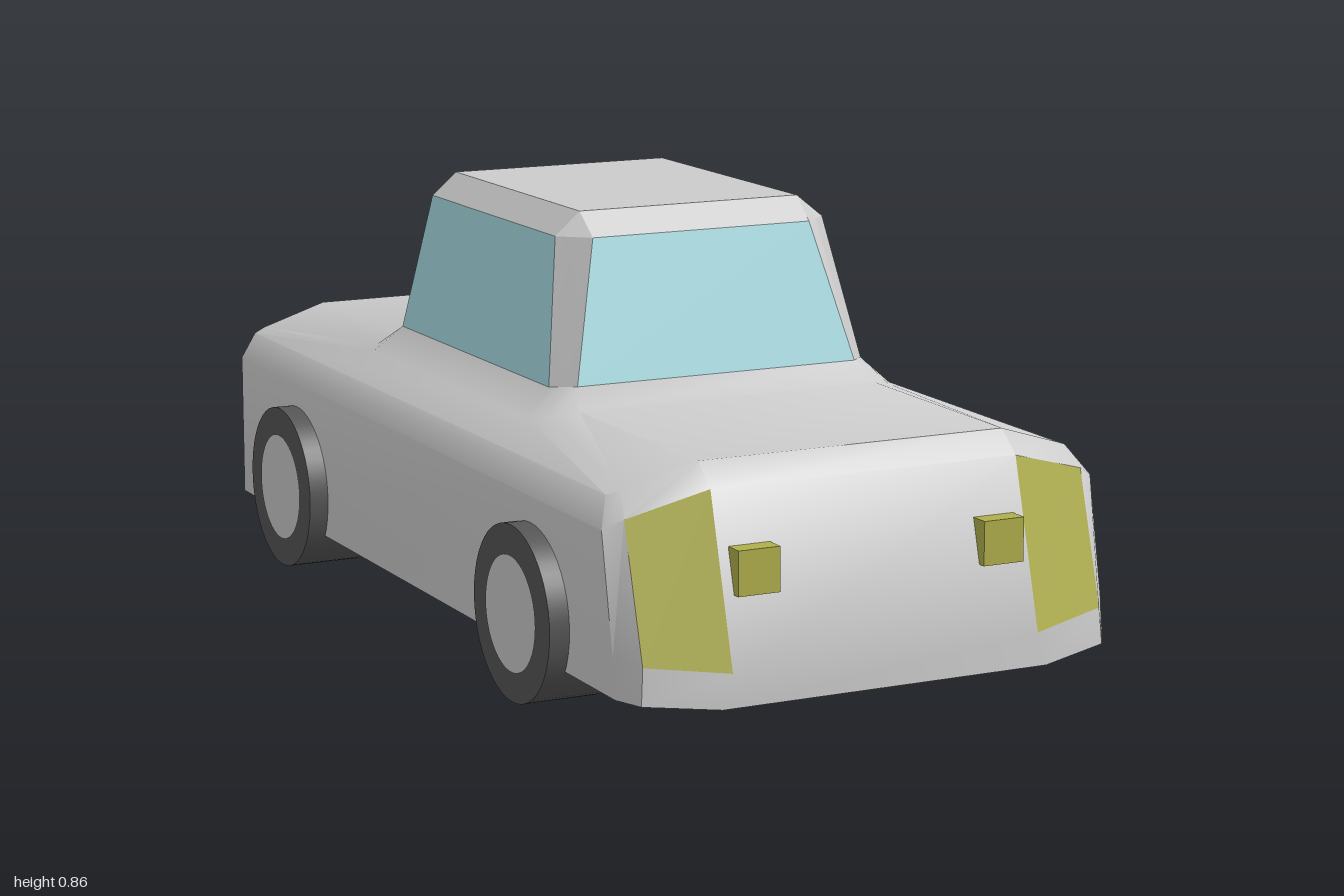
import * as THREE from 'three';
import { toCreasedNormals } from 'three/addons/utils/BufferGeometryUtils.js';

const mat = (color) => new THREE.MeshStandardMaterial({ color, side: THREE.DoubleSide });
const grey = mat(0xcccccc), glass = mat(0xa8dde4), yellow = mat(0xb0b04c);
const red = mat(0xb03a30), black = mat(0x0a0a0a), rubber = mat(0x555555);

// Half outlines from the front, round the +x side, to the rear: [x, y, z]
const RINGS = [
  // sill
  [[.34, .07, 1], [.485, .085, .965], [.515, .09, .92], [.515, .09, -.955], [.47, .09, -1], [.32, .09, -1]],
  // bottom of the lamps
  [[.32, .135, 1], [.48, .155, .96], [.515, .165, .91], [.515, .165, -.955], [.47, .155, -1], [.32, .15, -1]],
  // top of the lamps
  [[.32, .455, .91], [.48, .41, .885], [.515, .39, .865], [.515, .39, -.955], [.47, .41, -1], [.32, .45, -1]],
  // edge of the bonnet and boot
  [[.32, .497, .86], [.46, .452, .835], [.485, .443, .82], [.485, .443, -.95], [.46, .452, -.96], [.32, .497, -.96]],
  // foot of the cabin flare
  [[.325, .497, .375], [.375, .484, .34], [.4, .478, .3], [.4, .478, -.47], [.375, .484, -.51], [.325, .497, -.54]],
  // base of the windows
  [[.305, .535, .325], [.325, .533, .303], [.345, .53, .28], [.345, .53, -.445], [.325, .533, -.463], [.305, .535, -.48]],
  // top of the windows
  [[.238, .81, .255], [.267, .81, .23], [.295, .81, .205], [.295, .81, -.395], [.267, .81, -.418], [.238, .81, -.44]],
  // edge of the roof
  [[.24, .855, .2], [.24, .855, .2], [.24, .855, .2], [.24, .855, -.4], [.24, .855, -.4], [.24, .855, -.4]],
].map((half) => {
  const pts = half.map((p) => new THREE.Vector3(...p));
  return [...pts, ...pts.map((p) => new THREE.Vector3(-p.x, p.y, p.z)).reverse()];
});

// Quad panels between two rings; segment 11 is the front, 5 the rear, 2 and 8 the sides
const panel = (r, i) => {
  const a = RINGS[r], b = RINGS[r + 1], j = (i + 1) % 12;
  return [a[i], a[j], b[j], b[i]];
};

function skin(name, quads, material, crease = 0.68) {
  const pos = [];
  const tri = new THREE.Triangle();
  for (const [a, b, c, d] of quads) {
    for (const t of [[a, b, c], [a, c, d]]) {
      if (tri.set(...t).getArea() > 1e-7) t.forEach((p) => pos.push(p.x, p.y, p.z));
    }
  }
  const geo = new THREE.BufferGeometry();
  geo.setAttribute('position', new THREE.Float32BufferAttribute(pos, 3));
  const mesh = new THREE.Mesh(toCreasedNormals(geo, crease), material);
  mesh.name = name;
  return mesh;
}

function box(name, size, at, material) {
  const mesh = new THREE.Mesh(new THREE.BoxGeometry(...size), material);
  mesh.position.set(...at);
  mesh.name = name;
  return mesh;
}

function wheel(name, side, z) {
  const group = new THREE.Group();
  group.name = name;
  const tyre = new THREE.Mesh(new THREE.CylinderGeometry(.17, .17, .15, 48), rubber);
  tyre.name = 'tyre';
  const hub = new THREE.Mesh(new THREE.CircleGeometry(.112, 48), grey);
  hub.name = 'hub';
  hub.rotation.x = -Math.PI / 2;
  hub.position.y = .077;
  group.add(tyre, hub);
  group.rotation.z = -side * Math.PI / 2;
  group.position.set(side * .48, .17, z);
  return group;
}

export function createModel() {
  const car = new THREE.Group();
  car.name = 'car';

  // Open-bottomed body and cabin, with lamps and windows left as gaps
  const lamps = [0, 10, 4, 6], windows = [11, 2, 5, 8];
  const body = [], cabin = [];
  for (let r = 0; r < 7; r++) {
    for (let i = 0; i < 12; i++) {
      if (r === 1 && lamps.includes(i)) continue;
      if (r === 5 && windows.includes(i)) continue;
      (r < 5 ? body : cabin).push(panel(r, i));
    }
  }
  const top = RINGS[7];
  cabin.push([top[0], top[5], top[6], top[11]]);
  car.add(skin('body', body, grey), skin('cabin', cabin, grey, 0.4));

  // Windows and corner lamps fill the gaps
  ['windshield', 'leftWindow', 'rearWindow', 'rightWindow'].forEach((name, k) =>
    car.add(skin(name, [panel(5, windows[k])], glass)));
  ['leftHeadlight', 'rightHeadlight', 'leftTailLight', 'rightTailLight'].forEach((name, k) =>
    car.add(skin(name, [panel(1, lamps[k])], k < 2 ? yellow : red)));

  // Rear plate
  car.add(box('rearPlate', [.41, .12, .006], [0, .27, -1], black));

  // Fog lights and wheels on both sides
  for (const side of [1, -1]) {
    const label = side > 0 ? 'left' : 'right';
    car.add(box(label + 'FogLight', [.085, .085, .045], [side * .256, .311, .956], yellow));
    car.add(wheel(label + 'FrontWheel', side, .56), wheel(label + 'RearWheel', side, -.625));
  }
  return car;
}
